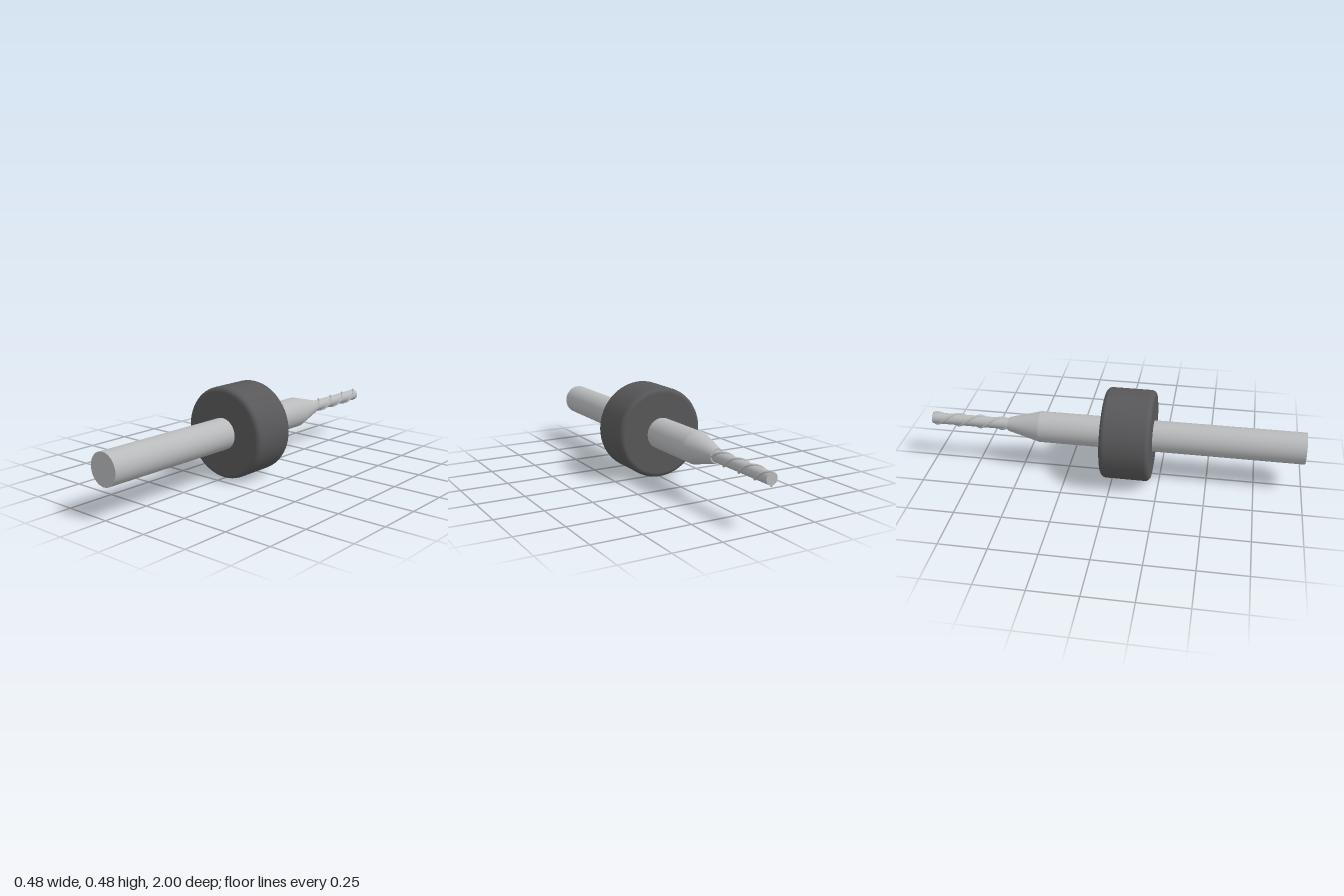
import * as THREE from 'three';

const AXIS_Y = 0.241;

// Helical ridge winding around the core towards the tip (-z)
class Helix extends THREE.Curve {
  constructor(radius, zStart, zEnd, turns, phase) {
    super();
    Object.assign(this, { radius, zStart, zEnd, turns, phase });
  }
  getPoint(t, target = new THREE.Vector3()) {
    const a = this.phase + t * this.turns * Math.PI * 2;
    return target.set(
      Math.cos(a) * this.radius,
      Math.sin(a) * this.radius,
      THREE.MathUtils.lerp(this.zStart, this.zEnd, t)
    );
  }
}

export function createModel() {
  const steel = new THREE.MeshStandardMaterial({ color: 0xb8babc });
  steel.name = 'steel';
  const darkGrey = new THREE.MeshStandardMaterial({ color: 0x58585a });
  darkGrey.name = 'dark grey';

  const tool = new THREE.Group();
  tool.name = 'cuttingTool';
  tool.position.y = AXIS_Y;

  const add = (name, geometry, material) => {
    const mesh = new THREE.Mesh(geometry, material);
    mesh.name = name;
    tool.add(mesh);
  };

  // Round section along z, from zFront to zBack
  const rod = (name, rFront, rBack, zFront, zBack) => {
    const g = new THREE.CylinderGeometry(rFront, rBack, zFront - zBack, 48);
    g.rotateX(Math.PI / 2);
    g.translate(0, 0, (zFront + zBack) / 2);
    add(name, g, steel);
  };
  rod('shank', 0.083, 0.083, 1, -0.4);
  rod('taper', 0.083, 0.037, -0.4, -0.575);
  rod('core', 0.03, 0.03, -0.57, -1);

  // Depth collar with rounded rims
  const R = 0.241, zBack = -0.05, zFront = 0.21, bevel = 0.026, steps = 6;
  const profile = [new THREE.Vector2(0.07, zBack)];
  for (const [cz, start] of [[zBack + bevel, -Math.PI / 2], [zFront - bevel, 0]]) {
    for (let i = 0; i <= steps; i++) {
      const a = start + (i / steps) * Math.PI / 2;
      profile.push(new THREE.Vector2(R - bevel + Math.cos(a) * bevel, cz + Math.sin(a) * bevel));
    }
  }
  profile.push(new THREE.Vector2(0.07, zFront));
  const collar = new THREE.LatheGeometry(profile, 64);
  collar.rotateX(Math.PI / 2);
  add('collar', collar, darkGrey);

  // Two opposed cutting ridges
  for (let i = 0; i < 2; i++) {
    const path = new Helix(0.031, -0.575, -0.997, 1.75, i * Math.PI);
    add('cuttingRidge' + (i + 1), new THREE.TubeGeometry(path, 120, 0.006, 8), steel);
    // Rounded ridge end at the tip
    const end = new THREE.SphereGeometry(0.006, 10, 8);
    end.scale(1, 1, 0.5);
    const p = path.getPoint(1);
    end.translate(p.x, p.y, p.z);
    add('ridgeEnd' + (i + 1), end, steel);
  }

  const model = new THREE.Group();
  model.name = 'endMill';
  model.add(tool);
  return model;
}
